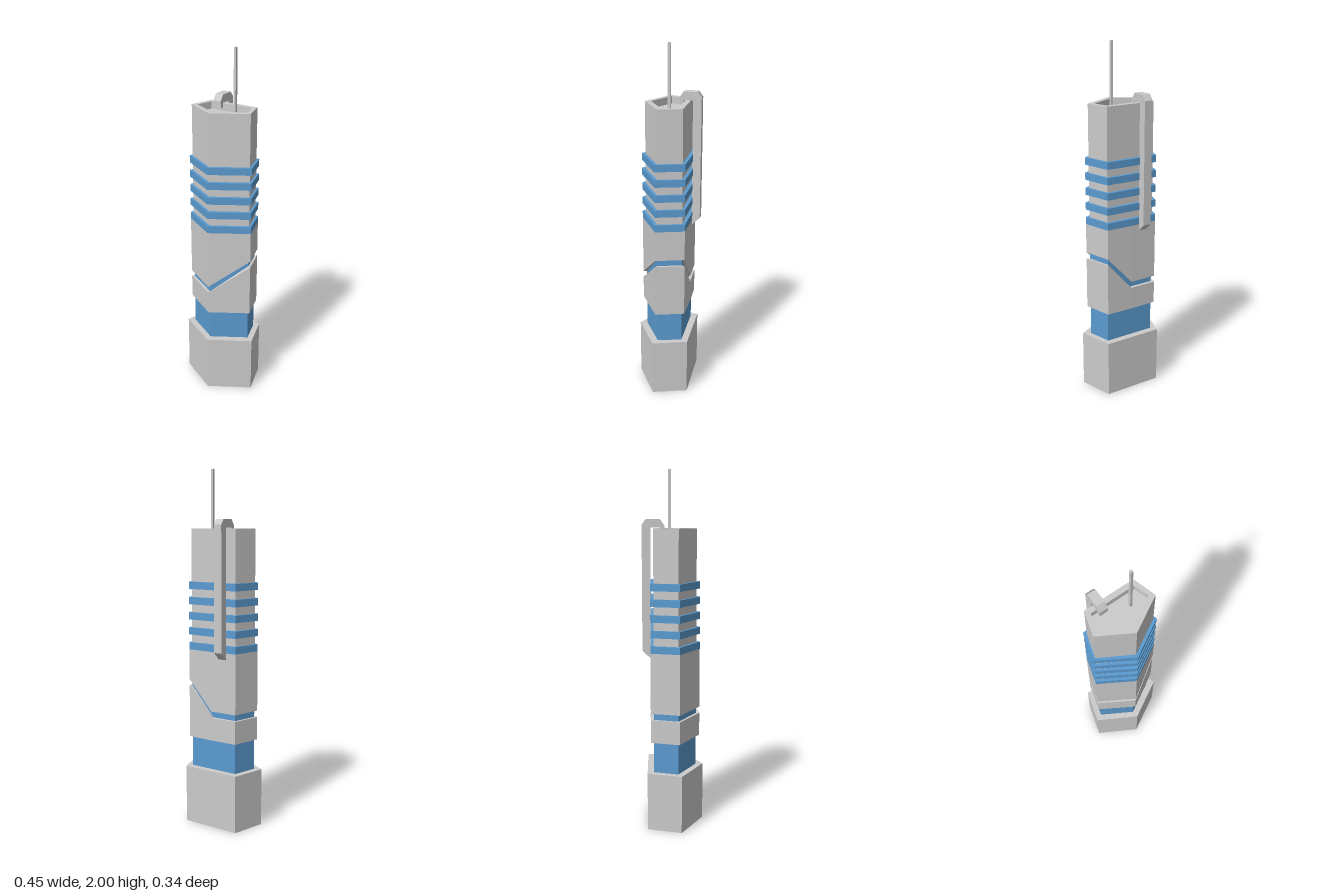
import * as THREE from 'three';

const grey = new THREE.MeshStandardMaterial({ color: 0xcccccc, flatShading: true });
const blue = new THREE.MeshStandardMaterial({ color: 0x5b9bd0, flatShading: true });

// Plan outlines as [x, z]: front, left, back left, back middle, back right, right
const BASE = [[0, 0.17], [0.225, 0.043], [0.165, -0.147], [0, -0.147], [-0.17, -0.147], [-0.225, 0.043]];
const SHELL = [[-0.005, 0.149], [0.2, 0.03], [0.153, -0.126], [0, -0.13], [-0.156, -0.127], [-0.2, 0.032]];
const CORE = [[-0.005, 0.129], [0.183, 0.021], [0.145, -0.11], [0, -0.11], [-0.145, -0.11], [-0.185, 0.025]];
const RECESS = [[-0.008, 0.095], [0.154, 0.003], [0.127, -0.08], [0, -0.08], [-0.127, -0.08], [-0.154, 0.013]];

const level = (y) => SHELL.map(() => y);
const mesh = (name, geometry, material) => {
  const m = new THREE.Mesh(geometry, material);
  m.name = name;
  return m;
};

// Join rings of [x, y, z] in sequence, with optional flat end caps
function loft(rings, capStart, capEnd) {
  const pos = [];
  const tri = (a, b, c) => pos.push(...a, ...b, ...c);
  for (let r = 0; r < rings.length - 1; r++) {
    const A = rings[r], B = rings[r + 1], n = A.length;
    for (let i = 0; i < n; i++) {
      const j = (i + 1) % n;
      tri(A[i], A[j], B[j]);
      tri(A[i], B[j], B[i]);
    }
  }
  const first = rings[0], last = rings[rings.length - 1];
  for (let i = 1; i < first.length - 1; i++) {
    if (capStart) tri(first[0], first[i + 1], first[i]);
    if (capEnd) tri(last[0], last[i], last[i + 1]);
  }
  const g = new THREE.BufferGeometry();
  g.setAttribute('position', new THREE.Float32BufferAttribute(pos, 3));
  g.computeVertexNormals();
  return g;
}
const ring = (outline, ys) => outline.map(([x, z], i) => [x, ys[i], z]);
const prism = (outline, y0, y1) => loft([ring(outline, level(y0)), ring(outline, level(y1))], true, true);
// Hollow wrap around the core, each corner with its own bottom and top height
const sleeve = (bottom, top) =>
  loft([ring(CORE, bottom), ring(SHELL, bottom), ring(SHELL, top), ring(CORE, top)], false, false);

export function createModel() {
  const g = new THREE.Group();
  g.name = 'tower';

  g.add(mesh('base', prism(BASE, 0, 0.33), grey));
  g.add(mesh('glassCore', prism(CORE, 0.33, 1.02), blue));

  // Cladding split by a slot that climbs across the front and back faces
  const slot = [0.635, 0.803, 0.803, 0.635, 0.635, 0.635];
  g.add(mesh('lowerCladding', sleeve(level(0.505), slot), grey));
  g.add(mesh('upperCladding', sleeve(slot.map((y) => y + 0.037), level(1.01)), grey));

  // Upper shaft with a sunken roof
  g.add(mesh('upperShaft', loft([
    ring(CORE, level(1.02)), ring(CORE, level(1.68)),
    ring(RECESS, level(1.68)), ring(RECESS, level(1.64)),
  ], false, true), grey));

  // Projecting window bands
  for (let i = 0; i < 5; i++) {
    const y = 1.01 + i * 0.085;
    g.add(mesh('windowBand', sleeve(level(y), level(y + 0.04)), blue));
  }

  // Duct rising up the back and hooking over the parapet, profile as [z, y]
  const profile = [[-0.125, 0.97], [-0.125, 1.685], [-0.073, 1.685], [-0.073, 1.66], [-0.05, 1.66],
    [-0.05, 1.697], [-0.073, 1.73], [-0.15, 1.73], [-0.172, 1.7], [-0.172, 1.015]];
  const duct = new THREE.ExtrudeGeometry(
    new THREE.Shape(profile.map(([z, y]) => new THREE.Vector2(z, y))),
    { depth: 0.047, bevelEnabled: false });
  duct.rotateY(-Math.PI / 2).translate(-0.048, 0, 0);
  g.add(mesh('backDuct', duct, grey));

  const mast = new THREE.BoxGeometry(0.013, 0.36, 0.015);
  mast.translate(0.063, 1.82, -0.02);
  g.add(mesh('mast', mast, grey));
  return g;
}
